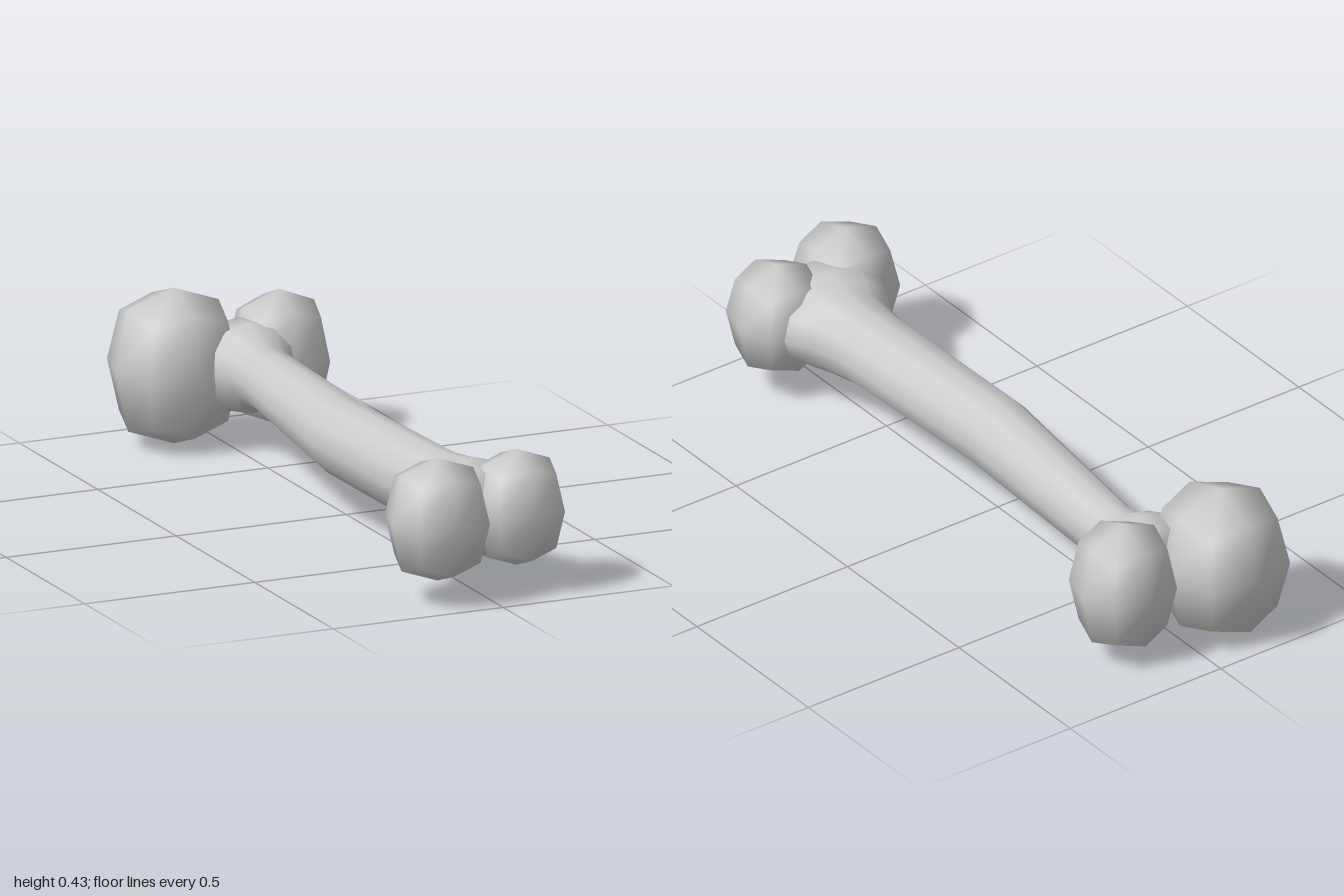
import * as THREE from 'three';
import { mergeVertices } from 'three/addons/utils/BufferGeometryUtils.js';

const material = new THREE.MeshStandardMaterial({ color: 0xcccccc });

// Low-poly rounded knob: a 2x2x2 box pulled towards an ellipsoid, smooth normals
function knob(name, [x, y, z], [rx, ry, rz]) {
  let g = new THREE.BoxGeometry(2, 2, 2, 2, 2, 2);
  g.deleteAttribute('uv');
  g.deleteAttribute('normal');
  g = mergeVertices(g);
  const p = g.attributes.position;
  const v = new THREE.Vector3();
  const pull = [0, 1, 0.78, 0.64]; // face centre, edge middle, corner
  for (let i = 0; i < p.count; i++) {
    v.fromBufferAttribute(p, i);
    v.multiplyScalar(pull[Math.round(v.lengthSq())]);
    p.setXYZ(i, v.x * rx, v.y * ry, v.z * rz);
  }
  g.computeVertexNormals();
  const mesh = new THREE.Mesh(g, material);
  mesh.name = name;
  mesh.position.set(x, y, z);
  return mesh;
}

// Shaft lofted through elliptical rings: [z, centre x, centre y, radius x, radius y]
function shaft() {
  const rings = [
    [-0.78, 0.04, 0.218, 0, 0],
    [-0.78, 0.04, 0.218, 0.12, 0.125],
    [-0.70, 0.04, 0.220, 0.14, 0.125],
    [-0.655, 0.04, 0.220, 0.115, 0.112],
    [-0.62, 0.04, 0.220, 0.09, 0.090],
    [-0.57, 0.04, 0.220, 0.083, 0.085],
    [0.02, -0.012, 0.218, 0.103, 0.103],
    [0.56, 0.003, 0.218, 0.108, 0.108],
    [0.65, 0.008, 0.219, 0.128, 0.115],
    [0.70, 0.002, 0.220, 0.165, 0.122],
    [0.76, -0.005, 0.220, 0.185, 0.130],
    [0.85, -0.005, 0.220, 0.11, 0.120],
    [0.86, -0.005, 0.220, 0, 0],
  ];
  const sides = 12;
  const pos = [], index = [];
  rings.forEach(([z, cx, cy, rx, ry], i) => {
    for (let j = 0; j < sides; j++) {
      const a = (j / sides) * Math.PI * 2;
      pos.push(cx + rx * Math.cos(a), cy + ry * Math.sin(a), z);
      if (i === rings.length - 1) continue;
      const k = (j + 1) % sides;
      const a0 = i * sides + j, b0 = i * sides + k;
      index.push(a0, b0, a0 + sides, b0, b0 + sides, a0 + sides);
    }
  });
  const g = new THREE.BufferGeometry();
  g.setAttribute('position', new THREE.Float32BufferAttribute(pos, 3));
  g.setIndex(index);
  g.computeVertexNormals();
  const mesh = new THREE.Mesh(g, material);
  mesh.name = 'shaft';
  return mesh;
}

export function createModel() {
  const bone = new THREE.Group();
  bone.name = 'bone';
  bone.add(
    shaft(),
    knob('backRightKnob', [-0.127, 0.216, -0.825], [0.17, 0.216, 0.175]),
    knob('backLeftKnob', [0.162, 0.218, -0.78], [0.133, 0.188, 0.132]),
    knob('frontRightKnob', [-0.13, 0.225, 0.863], [0.135, 0.17, 0.137]),
    knob('frontLeftKnob', [0.115, 0.223, 0.835], [0.125, 0.161, 0.127]),
  );
  return bone;
}
